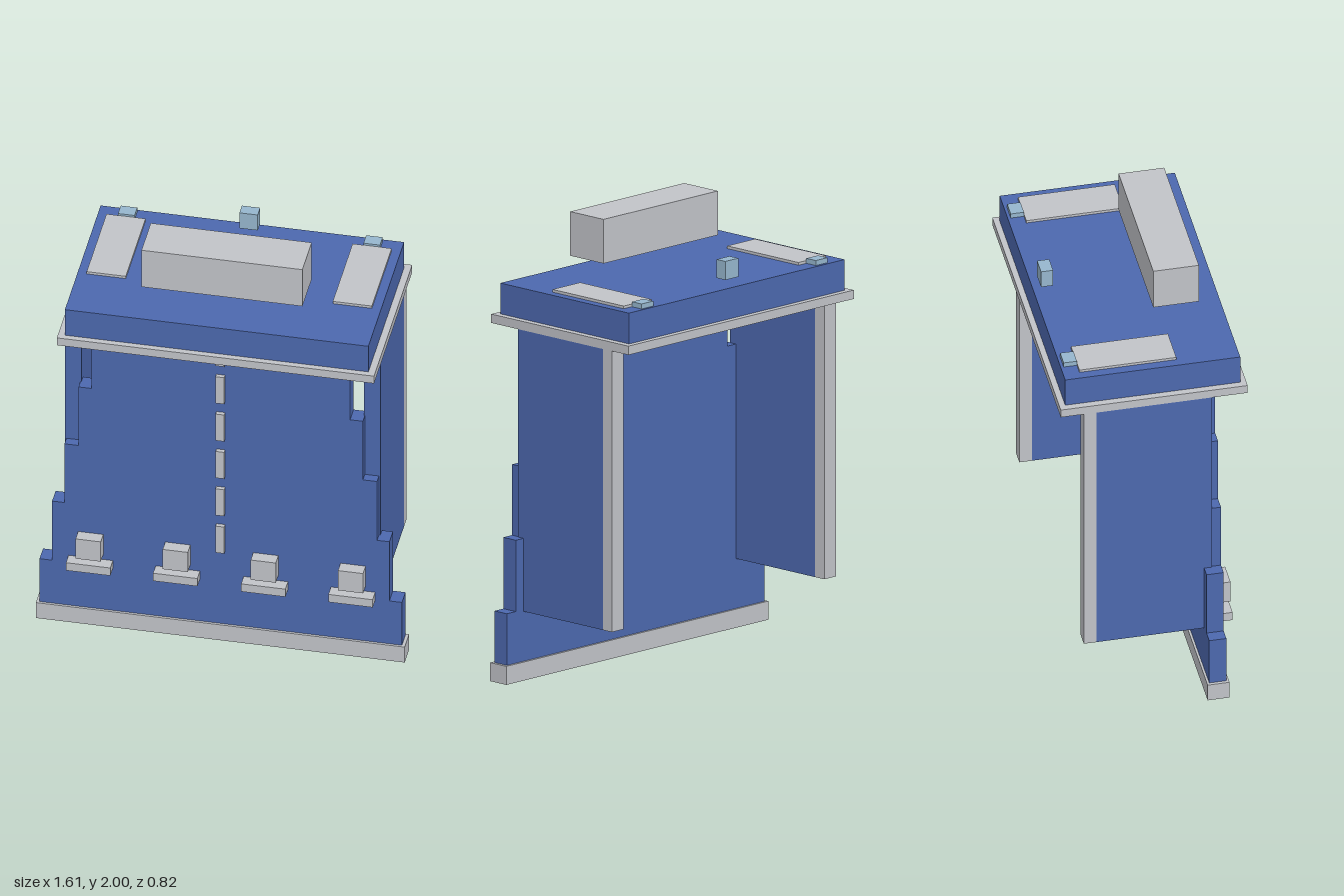
import * as THREE from 'three';

export function createModel() {
  const model = new THREE.Group();
  model.name = 'gatehouse';

  const material = (name, color) => {
    const m = new THREE.MeshStandardMaterial({ color });
    m.name = name;
    return m;
  };
  const blue = material('blue', 0x4c68ae);
  const grey = material('light grey', 0xc1c3c8);
  const paleBlue = material('pale blue', 0x96b6cd);

  // Box given by its extents on each axis
  const block = (name, mat, [x0, x1], [y0, y1], [z0, z1]) => {
    const mesh = new THREE.Mesh(new THREE.BoxGeometry(x1 - x0, y1 - y0, z1 - z0), mat);
    mesh.position.set((x0 + x1) / 2, (y0 + y1) / 2, (z0 + z1) / 2);
    mesh.name = name;
    model.add(mesh);
  };

  // Stepped front wall, narrowing towards the top
  const steps = [[0.793, 0.08, 0.31], [0.738, 0.31, 0.625], [0.684, 0.625, 0.938],
    [0.622, 0.938, 1.25], [0.566, 1.25, 1.55]];
  const right = steps.flatMap(([w, y0, y1]) => [new THREE.Vector2(w, y0), new THREE.Vector2(w, y1)]);
  const left = right.map((p) => new THREE.Vector2(-p.x, p.y)).reverse();
  const wallGeometry = new THREE.ExtrudeGeometry(new THREE.Shape([...right, ...left]),
    { depth: 0.075, bevelEnabled: false });
  const frontWall = new THREE.Mesh(wallGeometry, blue);
  frontWall.position.z = 0.22;
  frontWall.name = 'frontWall';
  model.add(frontWall);

  block('base', grey, [-0.807, 0.807], [0, 0.082], [0.21, 0.306]);

  // Roof
  block('cornice', grey, [-0.694, 0.694], [1.545, 1.584], [-0.41, 0.41]);
  block('roof', blue, [-0.664, 0.664], [1.584, 1.72], [-0.384, 0.384]);
  block('roofSign', grey, [-0.352, 0.352], [1.805, 2], [0.07, 0.27]);
  block('roofLamp', paleBlue, [-0.04, 0.04], [1.75, 1.832], [-0.355, -0.302]);

  // Side walls, rear posts and roof fittings, mirrored
  for (const side of [-1, 1]) {
    const span = (a, b) => (side > 0 ? [a, b] : [-b, -a]);
    block('sideWall', blue, span(0.618, 0.69), [0.302, 1.545], [-0.253, 0.254]);
    block('rearPost', grey, span(0.618, 0.69), [0.302, 1.545], [-0.308, -0.253]);
    block('roofPanel', grey, span(0.453, 0.624), [1.72, 1.732], [-0.313, 0.112]);
    block('panelLamp', paleBlue, span(0.501, 0.573), [1.72, 1.742], [-0.371, -0.313]);
  }

  // Broken line of strips up the middle of the front
  for (let i = 0; i < 6; i++) {
    const y = 0.47 + i * 0.199;
    block('centreStrip', grey, [-0.019, 0.019], [y, Math.min(y + 0.141, 1.55)], [0.295, 0.314]);
  }

  // Row of raised blocks with ledges
  for (const x of [-0.569, -0.188, 0.197, 0.579]) {
    block('frontBlock', grey, [x - 0.055, x + 0.055], [0.375, 0.48], [0.295, 0.35]);
    block('frontLedge', grey, [x - 0.097, x + 0.097], [0.306, 0.347], [0.295, 0.35]);
  }

  return model;
}
